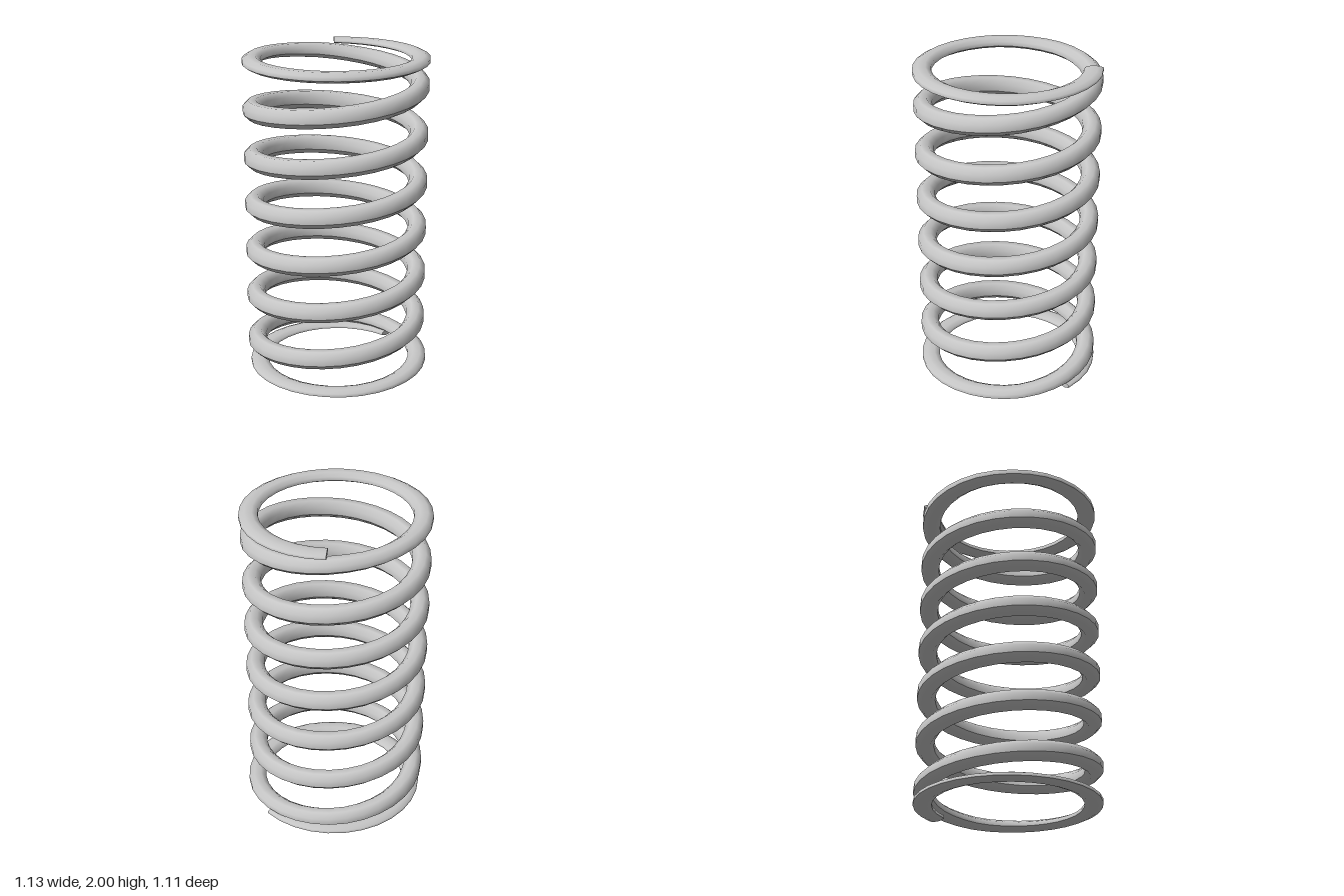
import * as THREE from 'three';

const COIL_RADIUS = 0.503, WIRE = 0.055, STEPS_PER_TURN = 32;
const START = 0.355, END = 8.476; // in turns, 0 = front, 0.25 = +x side

// [turn, centre height, half thickness, x offset]: flattened ends, even pitch between
const KEYS = [
  [0.355, 0.022, 0.02, 0.005], [0.75, 0.025, 0.021, 0.005], [1.0, 0.029, 0.025, 0.006],
  [1.25, 0.05, 0.034, 0.006], [1.5, 0.11, 0.05, -0.002], [1.75, 0.185, 0.055, -0.009],
  [2.0, 0.26, 0.055, -0.01], [2.25, 0.34, 0.055, -0.01], [7.0, 1.75, 0.055, -0.01],
  [7.25, 1.83, 0.053, -0.01], [7.5, 1.922, 0.045, -0.01], [7.62, 1.952, 0.037, -0.01],
  [7.75, 1.966, 0.032, -0.01], [8.0, 1.97, 0.03, -0.008], [8.25, 1.973, 0.027, -0.006],
  [8.476, 1.984, 0.016, -0.005],
];

function sample(t) {
  let i = 0;
  while (i < KEYS.length - 2 && t > KEYS[i + 1][0]) i++;
  const a = KEYS[i], b = KEYS[i + 1];
  const f = (t - a[0]) / (b[0] - a[0]);
  return a.map((v, k) => v + (b[k] - v) * f);
}

// Point on the octagonal wire section at turn t
function wirePoint(t, degrees) {
  const [, y, half, dx] = sample(t);
  const a = t * Math.PI * 2, p = THREE.MathUtils.degToRad(degrees);
  const k = 1 / Math.cos(Math.PI / 8);
  const r = COIL_RADIUS + Math.cos(p) * WIRE * k;
  return [dx + Math.sin(a) * r, y + Math.sin(p) * half * k, Math.cos(a) * r];
}

// Smooth strip swept along the coil over part of the section
function sweep(angles) {
  const n = Math.round((END - START) * STEPS_PER_TURN), m = angles.length;
  const pos = [], idx = [];
  for (let i = 0; i <= n; i++) {
    const t = START + (END - START) * i / n;
    for (const d of angles) pos.push(...wirePoint(t, d));
  }
  for (let i = 0; i < n; i++) {
    for (let j = 0; j < m - 1; j++) {
      const a = i * m + j, b = a + m;
      idx.push(a, b, b + 1, a, b + 1, a + 1);
    }
  }
  return build(pos, idx);
}

// Flat octagonal cut at a wire end
function cap(t, flip) {
  const pos = [], idx = [];
  for (let j = 0; j < 8; j++) pos.push(...wirePoint(t, 22.5 + j * 45));
  for (let j = 1; j < 7; j++) idx.push(...(flip ? [0, j, j + 1] : [0, j + 1, j]));
  return build(pos, idx);
}

function build(pos, idx) {
  const g = new THREE.BufferGeometry();
  g.setAttribute('position', new THREE.Float32BufferAttribute(pos, 3));
  g.setIndex(idx);
  g.computeVertexNormals();
  return g;
}

export function createModel() {
  const group = new THREE.Group();
  group.name = 'coilSpring';
  const steel = new THREE.MeshStandardMaterial({ color: 0xc6c6c6 });
  steel.name = 'steel';
  steel.side = THREE.DoubleSide;
  const add = (name, geometry) => {
    const mesh = new THREE.Mesh(geometry, steel);
    mesh.name = name;
    group.add(mesh);
  };
  // Rounded upper side and creased underside of the wire
  add('wireUpper', sweep([-22.5, 22.5, 67.5, 112.5, 157.5, 202.5]));
  add('wireUnderside', sweep([202.5, 247.5, 292.5, 337.5]));
  add('bottomEnd', cap(START, false));
  add('topEnd', cap(END, true));
  return group;
}
